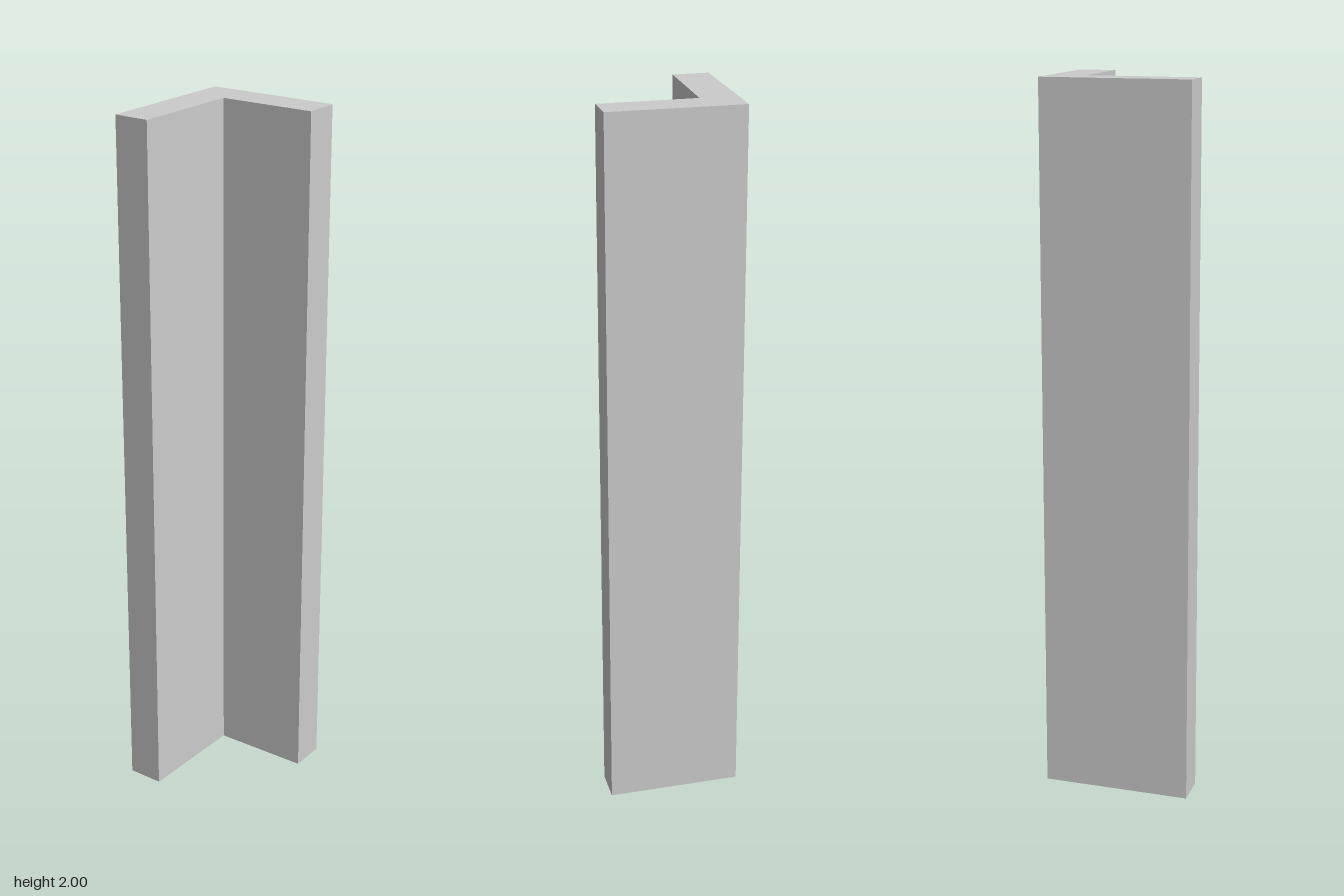
import * as THREE from 'three';

const HEIGHT = 2;

// L-shaped footprint as [x, z], counter-clockwise seen from above
const FOOTPRINT = [
  [-0.184, -0.207], [-0.194, 0.212], [-0.092, 0.212],
  [-0.082, -0.105], [0.193, -0.111], [0.193, -0.213],
];

// One flat upright panel per footprint edge, each with its own vertices for hard corners
function wallGeometry(points, height) {
  const positions = [];
  points.forEach(([ax, az], i) => {
    const [bx, bz] = points[(i + 1) % points.length];
    positions.push(ax, 0, az, bx, 0, bz, bx, height, bz);
    positions.push(ax, 0, az, bx, height, bz, ax, height, az);
  });
  const geometry = new THREE.BufferGeometry();
  geometry.setAttribute('position', new THREE.Float32BufferAttribute(positions, 3));
  geometry.computeVertexNormals();
  return geometry;
}

export function createModel() {
  const group = new THREE.Group();
  group.name = 'cornerColumn';
  const material = new THREE.MeshStandardMaterial({
    color: 0xcccccc, flatShading: true, side: THREE.DoubleSide,
  });

  // Upright faces of the two wings
  const walls = new THREE.Mesh(wallGeometry(FOOTPRINT, HEIGHT), material);
  walls.name = 'walls';

  // Closed top; the underside stays open
  const outline = new THREE.Shape(FOOTPRINT.map(([x, z]) => new THREE.Vector2(x, -z)));
  const topCap = new THREE.Mesh(new THREE.ShapeGeometry(outline).rotateX(-Math.PI / 2), material);
  topCap.name = 'topCap';
  topCap.position.y = HEIGHT;

  group.add(walls, topCap);
  return group;
}
